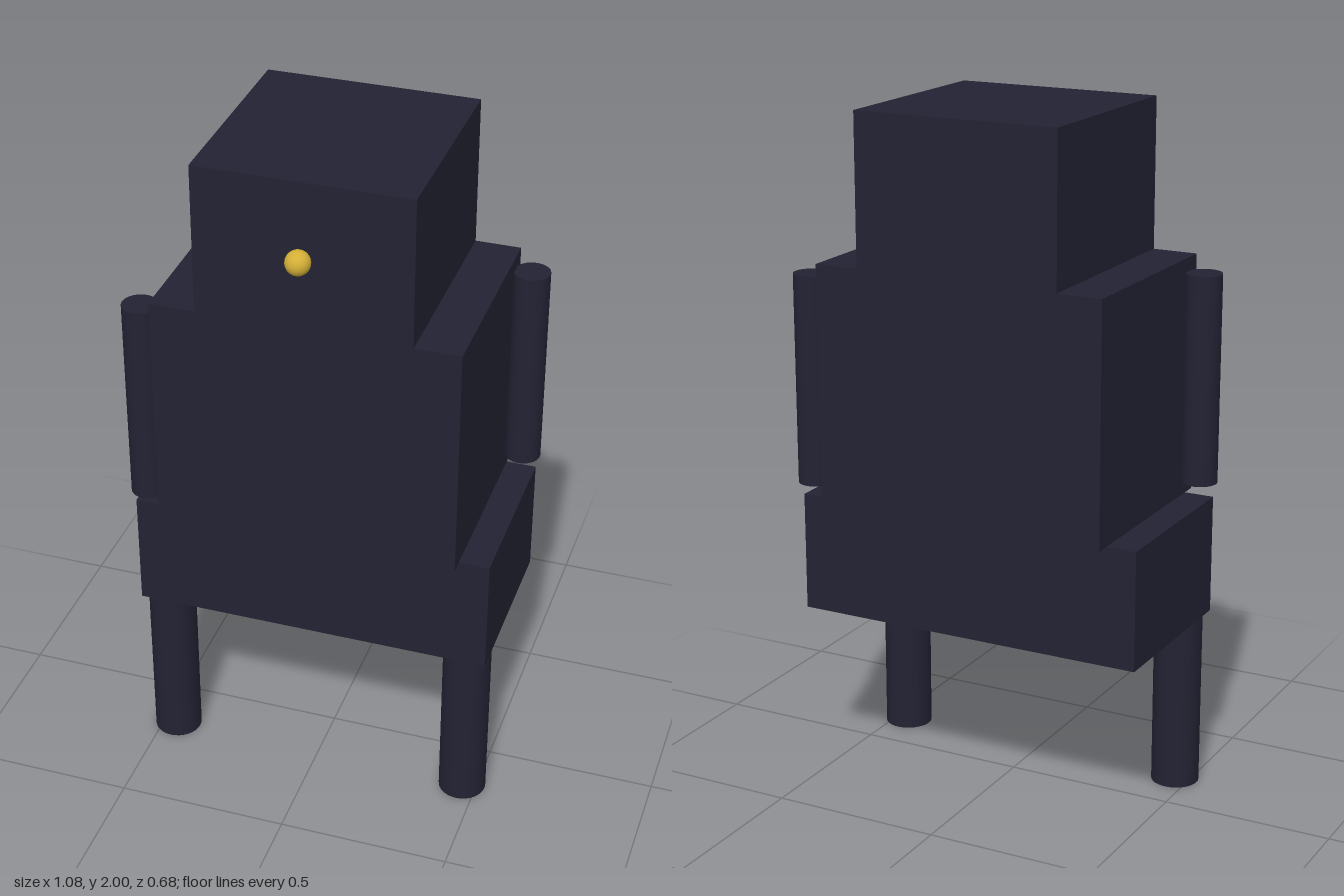
import * as THREE from 'three';

export function createModel() {
  const model = new THREE.Group();
  const navy = new THREE.MeshStandardMaterial({ name: 'dark navy', color: 0x222233 });
  const gold = new THREE.MeshStandardMaterial({ name: 'gold', color: 0xd4af37 });

  function add(name, geometry, material, x, y, z) {
    const mesh = new THREE.Mesh(geometry, material);
    mesh.name = name;
    mesh.position.set(x, y, z);
    model.add(mesh);
  }

  // Block sized by width and depth, spanning from bottom to top
  const block = (name, width, depth, bottom, top, z) =>
    add(name, new THREE.BoxGeometry(width, top - bottom, depth), navy, 0, (bottom + top) / 2, z);

  // Upright round post spanning from bottom to top
  const post = (name, radius, bottom, top, x, z) =>
    add(name, new THREE.CylinderGeometry(radius, radius, top - bottom, 32), navy, x, (bottom + top) / 2, z);

  // Stacked body
  block('hips', 1.052, 0.524, 0.522, 0.87, -0.033);
  block('torso', 0.876, 0.612, 0.87, 1.565, -0.034);
  block('head', 0.612, 0.612, 1.565, 2, -0.034);

  // Legs under the front edge of the hips
  post('leftLeg', 0.07, 0, 0.522, 0.456, 0.161);
  post('rightLeg', 0.07, 0, 0.522, -0.456, 0.161);

  // Arms, one swung back and one swung forward
  post('leftArm', 0.052, 0.913, 1.525, 0.486, -0.288);
  post('rightArm', 0.052, 0.913, 1.525, -0.486, 0.219);

  // Round nose on the face
  add('nose', new THREE.SphereGeometry(0.035, 32, 24), gold, 0, 1.784, 0.304);

  return model;
}
